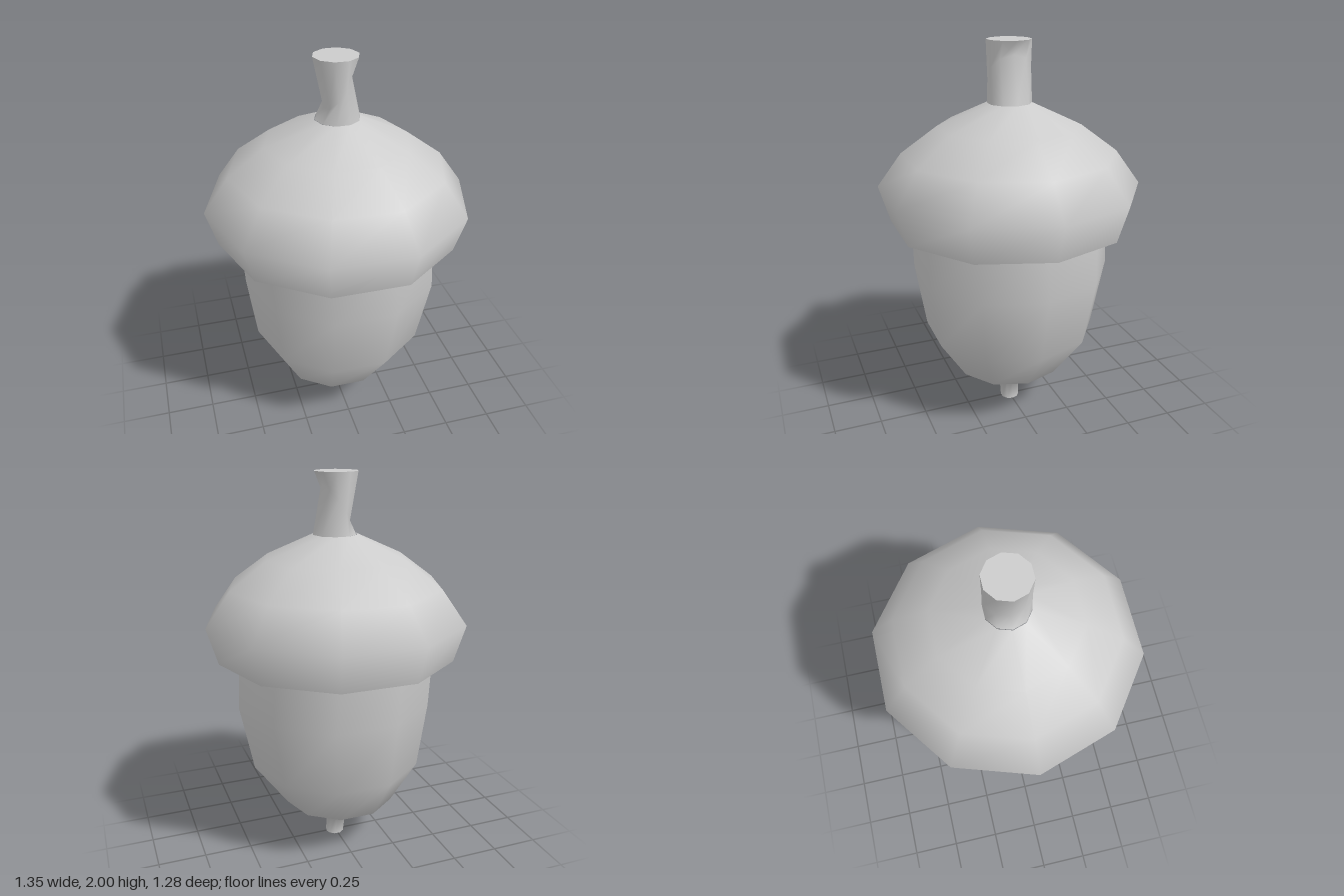
import * as THREE from 'three';

const SIDES = 10;
const material = new THREE.MeshStandardMaterial({ color: 0xcccccc });

// Smooth ten-sided skin through rings of [radius, y, x offset, tilt about z],
// listed so that the surface faces outward when running from bottom to top.
function loft(name, rings) {
  const positions = [];
  const indices = [];
  rings.forEach(([r, y, x = 0, tilt = 0], k) => {
    for (let i = 0; i < SIDES; i++) {
      const angle = (i / SIDES) * Math.PI * 2;
      const along = r * Math.cos(angle);
      positions.push(x + along * Math.cos(tilt), y + along * Math.sin(tilt), -r * Math.sin(angle));
      if (k === 0) continue;
      const j = (i + 1) % SIDES;
      const low = (k - 1) * SIDES;
      const high = k * SIDES;
      // A ring of zero radius closes to a point, so it needs one triangle only
      if (rings[k - 1][0] > 0) indices.push(low + i, low + j, high + j);
      if (r > 0) indices.push(low + i, high + j, high + i);
    }
  });
  const geometry = new THREE.BufferGeometry();
  geometry.setAttribute('position', new THREE.Float32BufferAttribute(positions, 3));
  geometry.setIndex(indices);
  geometry.computeVertexNormals();
  const mesh = new THREE.Mesh(geometry, material);
  mesh.name = name;
  return mesh;
}

export function createModel() {
  const acorn = new THREE.Group();
  acorn.name = 'acorn';

  // Nut, slightly uneven, drawn in to a small tip
  acorn.add(
    loft('nut', [
      [0.05, 0, 0.004],
      [0.055, 0.115, -0.005],
      [0.298, 0.235, -0.019],
      [0.455, 0.48, 0.002],
      [0.513, 0.83, 0.015],
      [0.514, 1.08, 0.002],
    ]),
    loft('nutTipEnd', [[0, 0, 0.004], [0.05, 0, 0.004]]),
  );

  // Cap with a flat underside around the nut
  acorn.add(
    loft('cap', [
      [0.618, 1.08],
      [0.675, 1.27],
      [0.549, 1.443],
      [0.363, 1.58],
      [0.112, 1.695],
    ]),
    loft('capUnderside', [[0.514, 1.08, 0.002], [0.618, 1.08]]),
  );

  // Stem, kinked by one steeply tilted ring
  acorn.add(
    loft('stem', [
      [0.112, 1.695, 0.003],
      [0.112, 1.84, 0, 0.95],
      [0.112, 2, -0.005],
    ]),
    loft('stemEnd', [[0.112, 2, -0.005], [0, 2, -0.005]]),
  );

  return acorn;
}
